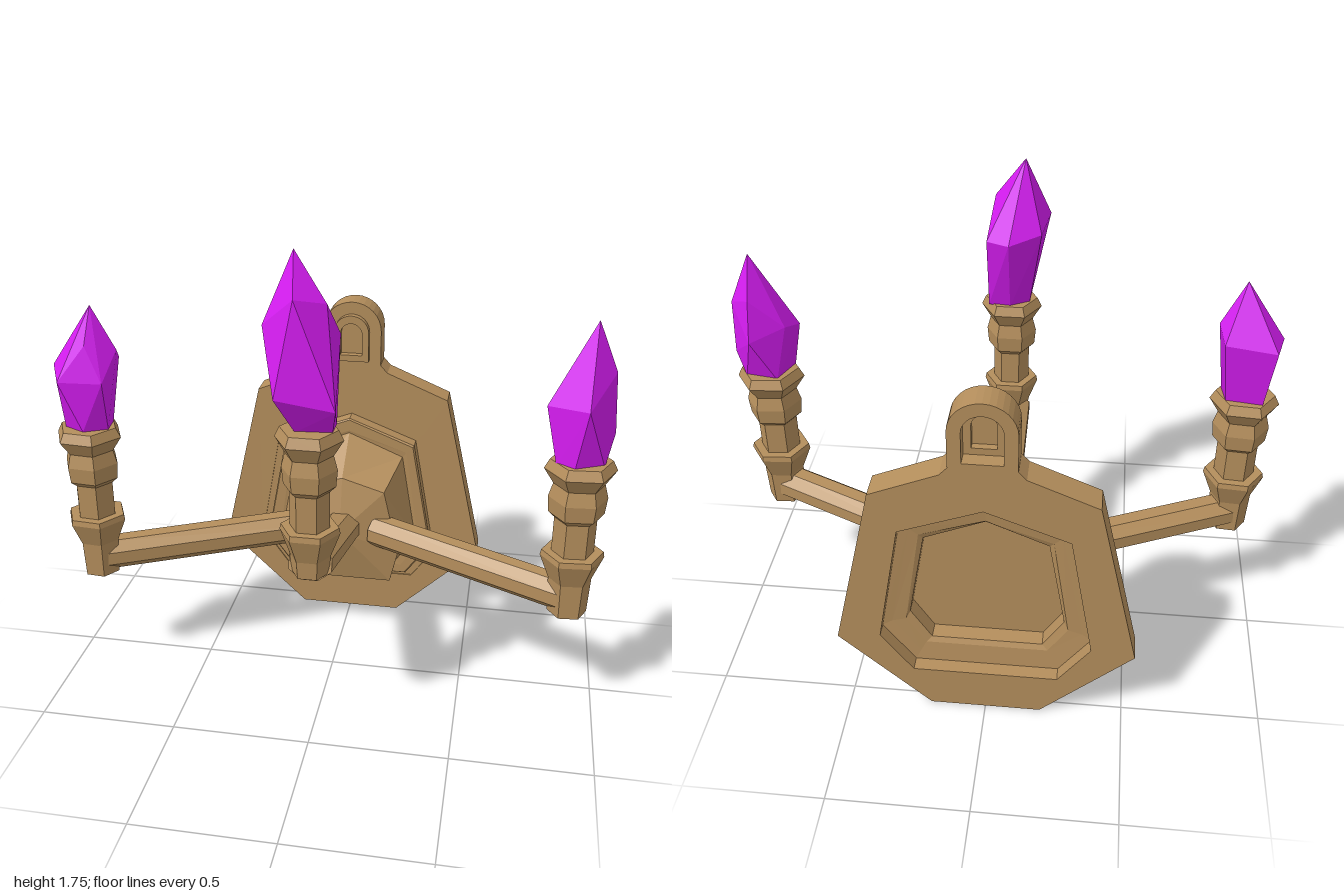
import * as THREE from 'three';
import { ConvexGeometry } from 'three/addons/geometries/ConvexGeometry.js';

const bronze = new THREE.MeshStandardMaterial({ color: 0xb48e5c, flatShading: true });
const violet = new THREE.MeshStandardMaterial({ color: 0xd41cf0, flatShading: true });

function add(parent, name, geometry, material = bronze) {
  const mesh = new THREE.Mesh(geometry, material);
  mesh.name = name;
  parent.add(mesh);
  return mesh;
}

// Seven-sided outline: bottom, side and shoulder half-widths with heights, then the peak
const heptagon = ([bw, by, sw, sy, uw, uy, peak]) =>
  [[bw, by], [sw, sy], [uw, uy], [0, peak], [-uw, uy], [-sw, sy], [-bw, by]];

// Skin over a list of [outline, z], closed by a tip point
function loft(sections, tip, flip) {
  const rings = sections.map(([o, z]) => heptagon(o).map(([x, y]) => [x, y, z]));
  rings.push(Array(7).fill(tip));
  const pos = [];
  const tri = (a, b, c) => pos.push(...a, ...(flip ? c : b), ...(flip ? b : c));
  for (let r = 0; r < rings.length - 1; r++) {
    for (let i = 0; i < 7; i++) {
      const j = (i + 1) % 7, a = rings[r], b = rings[r + 1];
      tri(a[i], a[j], b[j]);
      if (r < rings.length - 2) tri(a[i], b[j], b[i]);
    }
  }
  const g = new THREE.BufferGeometry();
  g.setAttribute('position', new THREE.Float32BufferAttribute(pos, 3));
  g.computeVertexNormals();
  return g;
}

// Round-topped window outline
function arch(path, w, bottom, spring) {
  path.moveTo(-w, bottom);
  path.lineTo(w, bottom);
  path.lineTo(w, spring);
  path.absarc(0, spring, w, 0, Math.PI, false);
  path.lineTo(-w, bottom);
  return path;
}

function extrude(shape, back, front) {
  return new THREE.ExtrudeGeometry(shape, { depth: front - back, bevelEnabled: false, curveSegments: 8 })
    .translate(0, 0, back);
}

const OUTER = [0.26, 0.17, 0.375, 0.33, 0.29, 0.82, 0.93];
const MIDDLE = [0.24, 0.21, 0.34, 0.35, 0.26, 0.79, 0.89];
const INNER = [0.22, 0.25, 0.29, 0.36, 0.23, 0.76, 0.84];
const DOME = [0.2, 0.27, 0.275, 0.39, 0.215, 0.74, 0.83];

function wallPlate() {
  const group = new THREE.Group();
  group.name = 'wallPlate';

  // Plate with hanging tab, pierced for the boss and the tab niche
  const s = new THREE.Shape();
  s.moveTo(-0.2, 0);
  for (const [x, y] of [[0.2, 0], [0.53, 0.31], [0.38, 0.97], [0.14, 1.07], [0.113, 1.1], [0.113, 1.237]]) s.lineTo(x, y);
  s.absarc(0, 1.237, 0.113, 0, Math.PI, false);
  for (const [x, y] of [[-0.113, 1.1], [-0.14, 1.07], [-0.38, 0.97], [-0.53, 0.31]]) s.lineTo(x, y);
  s.closePath();
  const hole = new THREE.Path();
  heptagon(OUTER).forEach(([x, y], i) => (i ? hole.lineTo(x, y) : hole.moveTo(x, y)));
  hole.closePath();
  s.holes.push(hole, arch(new THREE.Path(), 0.068, 1.12, 1.235));
  add(group, 'backPlate', extrude(s, -0.542, -0.44));

  // Raised frame and sunken panel in the hanging tab
  const frame = arch(new THREE.Shape(), 0.068, 1.12, 1.235);
  frame.holes.push(arch(new THREE.Path(), 0.042, 1.145, 1.23));
  add(group, 'tabFrame', extrude(frame, -0.49, -0.412));
  add(group, 'tabPanel', extrude(arch(new THREE.Shape(), 0.044, 1.14, 1.23), -0.465, -0.44));

  // Grooved, stepped rim and faceted dome in front
  add(group, 'boss', loft([
    [OUTER, -0.445], [MIDDLE, -0.445], [MIDDLE, -0.39], [[0.235, 0.215, 0.335, 0.352, 0.255, 0.785, 0.885], -0.383],
    [INNER, -0.383], [DOME, -0.385],
    [[0.195, 0.27, 0.225, 0.4, 0.165, 0.66, 0.71], -0.213],
  ], [0, 0.5, -0.16]));

  // Deep stepped hollow at the back
  add(group, 'backHollow', loft([
    [OUTER, -0.49], [MIDDLE, -0.485], [INNER, -0.48], [DOME, -0.47], [DOME, -0.41],
  ], [0, 0.5, -0.41], true));
  return group;
}

// Eight-sided bar with flat top and sides between two points
function bar(parent, from, to, width, height) {
  const a = new THREE.Vector3(...from), b = new THREE.Vector3(...to);
  const g = new THREE.CylinderGeometry(0.541, 0.541, a.distanceTo(b), 8)
    .rotateY(Math.PI / 8).rotateX(Math.PI / 2).scale(width, height, 1);
  const mesh = add(parent, 'arm', g);
  mesh.position.copy(a).lerp(b, 0.5);
  mesh.lookAt(b);
}

// Turned candle holder: [radius, height]
const HOLDER = [[0, 0.415], [0.07, 0.415], [0.076, 0.55], [0.112, 0.64], [0.108, 0.66], [0.074, 0.66], [0.074, 0.79],
  [0.096, 0.81], [0.102, 0.87], [0.088, 0.92], [0.124, 0.975], [0.106, 1.01], [0, 1.01]];

function holder(parent, x, z, lift, scale, yaw) {
  const pts = HOLDER.map(([r, y]) => new THREE.Vector2(r * scale, y));
  if (lift) pts[0].y = pts[1].y = 0.485;
  const mesh = add(parent, 'candleHolder', new THREE.LatheGeometry(pts, 6, Math.PI / 6));
  mesh.position.set(x, lift, z);
  mesh.rotation.y = yaw;
}

function crystal(parent, points) {
  add(parent, 'crystal', new ConvexGeometry(points.map((p) => new THREE.Vector3(...p))), violet);
}

export function createModel() {
  const model = new THREE.Group();
  model.name = 'wallSconce';
  model.add(wallPlate());

  // Centre branch rises forward
  const centre = new THREE.Group();
  centre.name = 'centreBranch';
  bar(centre, [0, 0.5, -0.22], [0, 0.695, 0.43], 0.148, 0.115);
  holder(centre, 0, 0.43, 0.18, 0.92, 0);
  crystal(centre, [
    [-0.07, 1.185, 0.4], [-0.04, 1.185, 0.46], [0.08, 1.185, 0.45], [0.08, 1.185, 0.37], [0, 1.185, 0.36],
    [-0.09, 1.32, 0.54], [0.1, 1.28, 0.51], [-0.14, 1.53, 0.45],
    [-0.115, 1.5, 0.32], [0, 1.47, 0.275], [0.082, 1.47, 0.31],
    [0.06, 1.6, 0.43], [-0.03, 1.63, 0.51], [-0.05, 1.755, 0.39],
  ]);
  model.add(centre);

  // Level side branches
  for (const side of [1, -1]) {
    const branch = new THREE.Group();
    branch.name = side > 0 ? 'leftBranch' : 'rightBranch';
    bar(branch, [side * 0.135, 0.492, -0.225], [side * 0.87, 0.48, 0.12], 0.125, 0.118);
    holder(branch, side * 0.875, side > 0 ? 0.12 : 0.125, 0, 1, side * 1.13);
    model.add(branch);
    if (side > 0) {
      crystal(branch, [
        [0.79, 1, 0.16], [0.85, 1, 0.2], [0.95, 1, 0.15], [0.95, 1, 0.07], [0.83, 1, 0.05],
        [0.98, 1.1, 0.08], [0.745, 1.2, 0.13], [0.88, 1.22, 0.225], [0.78, 1.22, 0.06],
        [0.9, 1.18, 0], [0.89, 1.34, 0.02], [0.965, 1.31, 0.07], [0.89, 1.49, 0.09],
      ]);
    } else {
      crystal(branch, [
        [-0.95, 1.01, 0.15], [-0.87, 1.01, 0.19], [-0.79, 1.01, 0.15], [-0.8, 1.01, 0.07], [-0.93, 1.01, 0.05],
        [-0.98, 1.24, 0.13], [-0.95, 1.24, 0.015], [-0.94, 1.2, 0.21], [-0.78, 1.2, 0.2],
        [-0.75, 1.3, 0.11], [-0.77, 1.25, 0.04], [-0.84, 1.33, 0.18], [-0.83, 1.46, 0.12],
      ]);
    }
  }
  return model;
}
